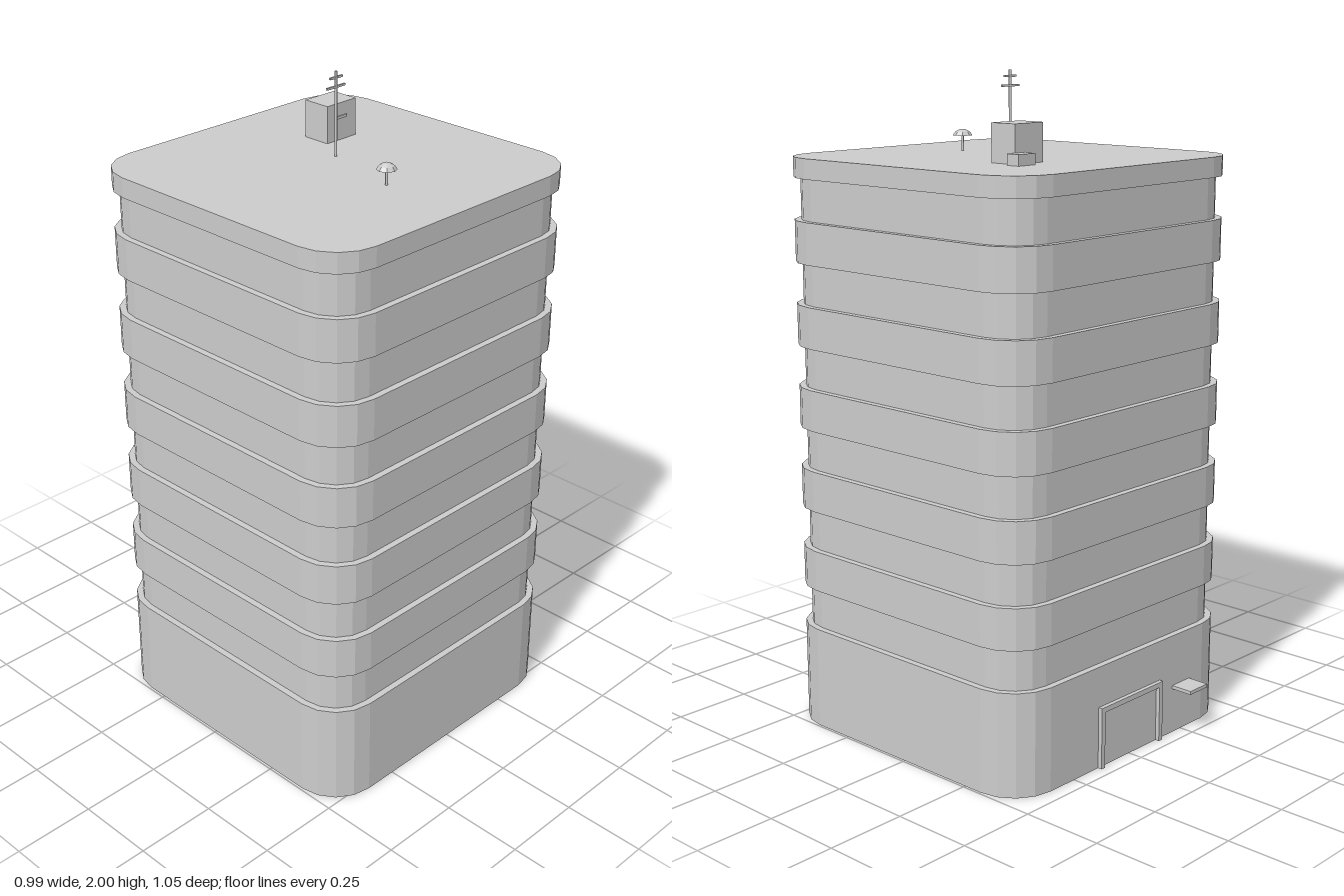
import * as THREE from 'three';

const concrete = new THREE.MeshStandardMaterial({ color: 0xcccccc });
concrete.name = 'light grey concrete';

// Main block footprint
const HALF_X = 0.493, BACK = -0.453, FRONT = 0.523, RADIUS = 0.141;
const INSET = 0.02, BASE_TOP = 0.315, BAND = 0.125, BANDS = 11, ROOF = 1.75;

function add(parent, name, geometry) {
  const mesh = new THREE.Mesh(geometry, concrete);
  mesh.name = name;
  parent.add(mesh);
  return mesh;
}

// Box given by its minimum and maximum corners
function box(parent, name, [x0, y0, z0], [x1, y1, z1]) {
  const mesh = add(parent, name, new THREE.BoxGeometry(x1 - x0, y1 - y0, z1 - z0));
  mesh.position.set((x0 + x1) / 2, (y0 + y1) / 2, (z0 + z1) / 2);
  return mesh;
}

// Rounded-corner storey slab from y0 to y1, pulled in by inset
function slab(parent, name, y0, y1, inset) {
  const x = HALF_X - inset, r = RADIUS - inset;
  const top = -BACK - inset, bottom = -FRONT + inset;
  const s = new THREE.Shape();
  s.absarc(x - r, top - r, r, 0, Math.PI / 2);
  s.absarc(-x + r, top - r, r, Math.PI / 2, Math.PI);
  s.absarc(-x + r, bottom + r, r, Math.PI, Math.PI * 1.5);
  s.absarc(x - r, bottom + r, r, Math.PI * 1.5, Math.PI * 2);
  s.closePath();
  const g = new THREE.ExtrudeGeometry(s, { depth: y1 - y0, bevelEnabled: false, curveSegments: 2 });
  g.rotateX(-Math.PI / 2);
  add(parent, name, g).position.y = y0;
}

export function createModel() {
  const model = new THREE.Group();
  model.name = 'towerBlock';

  // Ground storey, alternating recessed and projecting bands, roof slab
  const tower = new THREE.Group();
  tower.name = 'tower';
  model.add(tower);
  slab(tower, 'groundStorey', 0, BASE_TOP, 0);
  for (let i = 0; i < BANDS; i++) {
    const y = BASE_TOP + i * BAND, recessed = i % 2 === 0;
    slab(tower, recessed ? 'windowBand' : 'parapetBand', y, y + BAND, recessed ? INSET : 0);
  }
  slab(tower, 'roofSlab', BASE_TOP + BANDS * BAND, ROOF, 0);

  // Rear entrance frame and the small canopy beside it
  const entrance = new THREE.Group();
  entrance.name = 'entrance';
  model.add(entrance);
  const out = BACK - 0.013;
  for (const s of [-1, 1]) {
    const a = s * 0.143, b = s * 0.127;
    box(entrance, 'doorPost', [Math.min(a, b), 0, out], [Math.max(a, b), 0.19, BACK]);
  }
  box(entrance, 'doorLintel', [-0.127, 0.174, out], [0.127, 0.19, BACK]);
  box(entrance, 'sideCanopy', [-0.289, 0.142, -0.523], [-0.206, 0.153, BACK]);

  // Roof housing, its vent plate and the unit behind it
  box(model, 'roofHousing', [0.105, ROOF, -0.194], [0.222, 1.862, -0.104]);
  box(model, 'housingVent', [0.144, 1.815, -0.104], [0.183, 1.823, -0.101]);
  box(model, 'roofUnit', [0.181, ROOF, -0.234], [0.25, 1.782, -0.191]);

  // Aerial mast with two cross bars
  const aerial = new THREE.Group();
  aerial.name = 'aerial';
  aerial.position.set(0.047, ROOF, -0.013);
  model.add(aerial);
  add(aerial, 'mast', new THREE.CylinderGeometry(0.004, 0.004, 0.25, 8)).position.y = 0.125;
  box(aerial, 'lowerBar', [-0.036, 0.202, -0.003], [0.036, 0.208, 0.003]);
  box(aerial, 'upperBar', [-0.024, 0.229, -0.003], [0.024, 0.235, 0.003]);

  // Roof vent: thin stem under an eight-sided domed cap
  const vent = new THREE.Group();
  vent.name = 'roofVent';
  vent.position.set(-0.02, ROOF, 0.247);
  model.add(vent);
  add(vent, 'ventStem', new THREE.CylinderGeometry(0.004, 0.004, 0.05, 8)).position.y = 0.025;
  const profile = [[0, 0.046], [0.03, 0.046], [0.022, 0.057], [0.009, 0.064], [0, 0.064]]
    .map(([x, y]) => new THREE.Vector2(x, y));
  const cap = new THREE.LatheGeometry(profile, 8).toNonIndexed();
  cap.computeVertexNormals();
  add(vent, 'ventCap', cap);

  return model;
}
